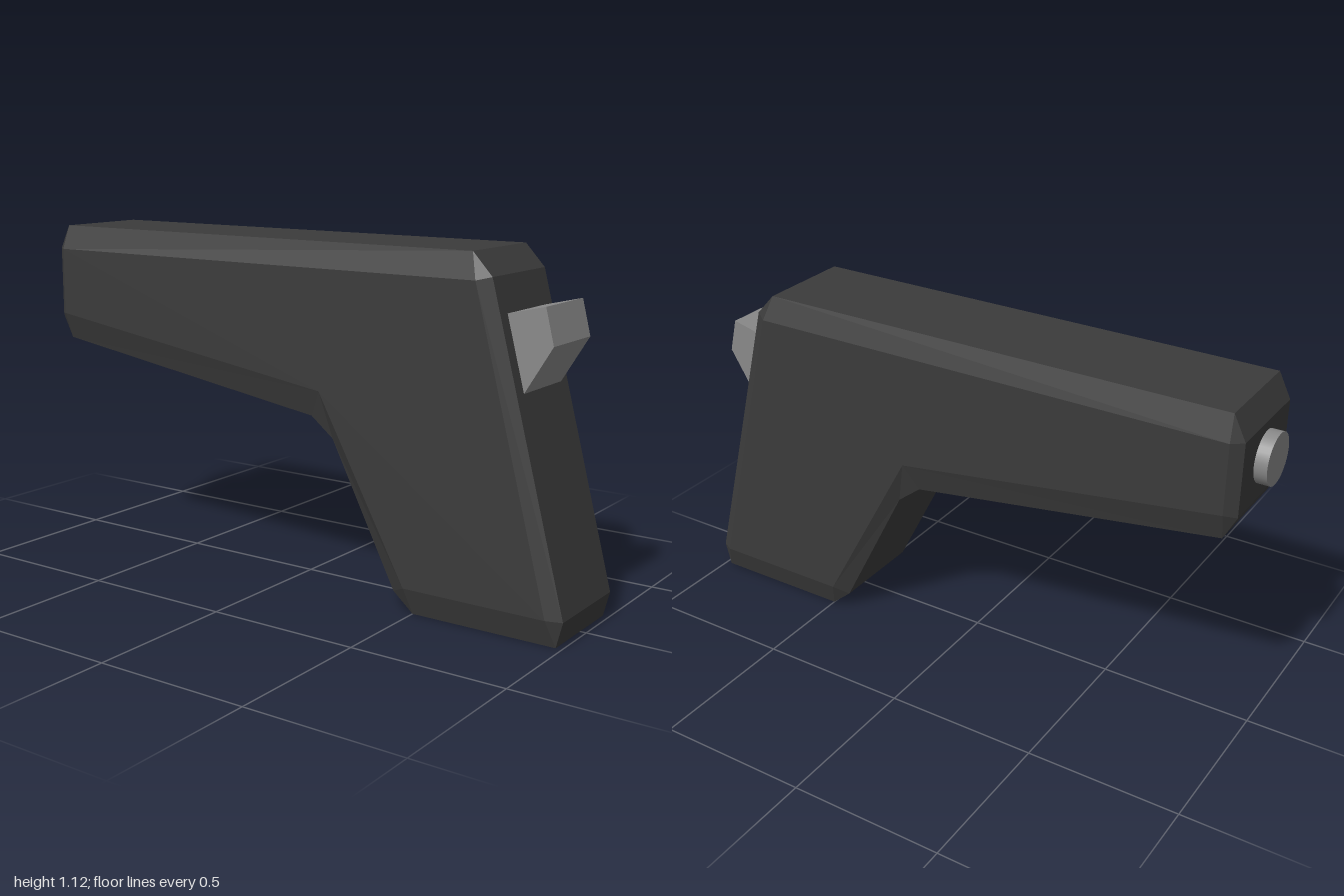
import * as THREE from 'three';

const bodyMat = new THREE.MeshStandardMaterial({ color: 0x3b3b3b });
bodyMat.name = 'charcoal';
const greyMat = new THREE.MeshStandardMaterial({ color: 0x898989 });
greyMat.name = 'midGrey';

// Angled body: a bevelled outline (two points per corner) with inset side faces
function bodyGeometry() {
  const rimX = 0.163, sideX = 0.19;
  // [z, y], walking from the lower front corner along the base to the back and over the top
  const rim = [
    [1.0, 0.08], [0.98, 0],
    [0.5, 0], [0.43, 0.06],
    [0.2, 0.51], [0.12, 0.573],
    [-0.92, 0.727], [-0.96, 0.805],
    [-0.96, 1.04], [-0.92, 1.12],
    [0.68, 1.12], [0.745, 1.05],
  ];
  const side = [[0.955, 0.085], [0.48, 0.085], [0.165, 0.66], [-0.925, 0.815], [-0.925, 1.04], [0.705, 1.04]];
  const pos = [];
  const tri = (a, b, c) => pos.push(...a, ...b, ...c);

  for (const s of [1, -1]) {
    const R = (i) => [s * rimX, rim[i % 12][1], rim[i % 12][0]];
    const S = (i) => [s * sideX, side[i % 6][1], side[i % 6][0]];
    const face = (a, b, c) => (s > 0 ? tri(a, b, c) : tri(a, c, b));
    // flat side, fanned from the inner elbow
    for (const [a, b] of [[3, 4], [4, 5], [5, 0], [0, 1]]) face(S(2), S(a), S(b));
    // corner triangles and edge bevels
    for (let i = 0; i < 6; i++) {
      face(S(i), R(2 * i), R(2 * i + 1));
      face(S(i), R(2 * i + 1), R(2 * i + 2));
      face(S(i), R(2 * i + 2), S(i + 1));
    }
  }
  // band across the width
  for (let i = 0; i < 12; i++) {
    const [z0, y0] = rim[i], [z1, y1] = rim[(i + 1) % 12];
    const a = [rimX, y0, z0], b = [-rimX, y0, z0], c = [-rimX, y1, z1], d = [rimX, y1, z1];
    tri(a, b, c);
    tri(a, c, d);
  }
  const geo = new THREE.BufferGeometry();
  geo.setAttribute('position', new THREE.Float32BufferAttribute(pos, 3));
  geo.computeVertexNormals();
  return geo;
}

// Wedge button: side profile extruded across x, its back buried in the body
function buttonGeometry() {
  const profile = [[0.83, 0.715], [0.75, 0.73], [0.72, 0.932], [0.892, 0.973], [0.92, 0.862]];
  const shape = new THREE.Shape(profile.map(([z, y]) => new THREE.Vector2(-z, y)));
  const geo = new THREE.ExtrudeGeometry(shape, { depth: 0.24, bevelEnabled: false });
  geo.translate(0, 0, -0.12);
  geo.rotateY(Math.PI / 2);
  return geo;
}

export function createModel() {
  const group = new THREE.Group();
  group.name = 'angledHandle';
  const add = (name, geo, mat) => {
    const mesh = new THREE.Mesh(geo, mat);
    mesh.name = name;
    group.add(mesh);
    return mesh;
  };

  add('body', bodyGeometry(), bodyMat);
  add('wedgeButton', buttonGeometry(), greyMat);

  // Round stud on the back end
  const stud = add('rearStud', new THREE.CylinderGeometry(0.081, 0.081, 0.08, 32), greyMat);
  stud.rotation.x = Math.PI / 2;
  stud.position.set(0, 0.93, -0.96);

  return group;
}
